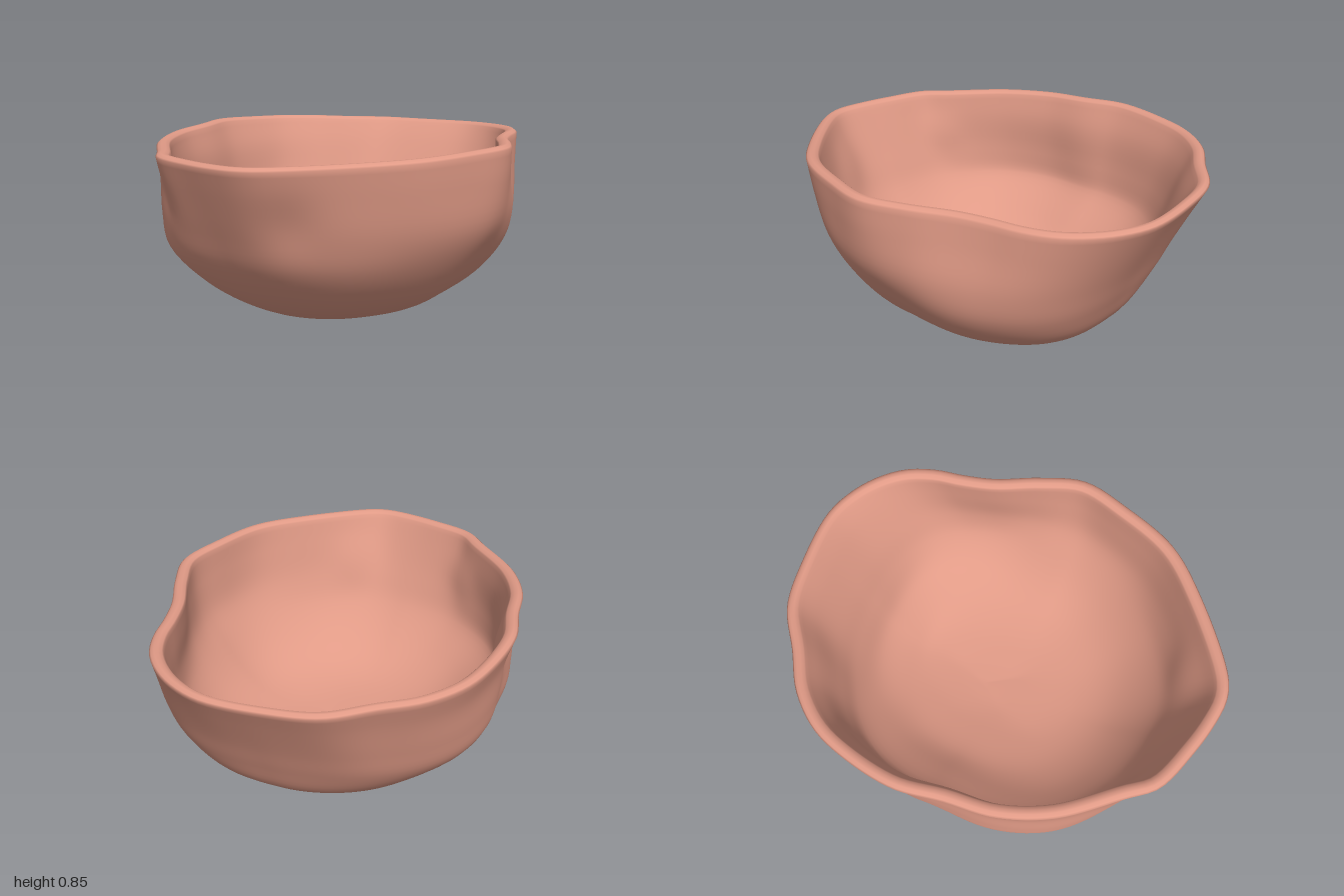
import * as THREE from 'three';

// Rim outline (x, z), from the back round by the +x side
const RIM = [
  [0.15, -1], [0.31, -0.955], [0.43, -0.88], [0.515, -0.79], [0.575, -0.67], [0.61, -0.54],
  [0.66, -0.4], [0.76, -0.22], [0.84, -0.02], [0.81, 0.21], [0.73, 0.48], [0.57, 0.69],
  [0.28, 0.955], [0.18, 0.993], [0.06, 0.992], [-0.1, 0.965], [-0.31, 0.9], [-0.42, 0.79],
  [-0.63, 0.57], [-0.745, 0.35], [-0.79, 0.13], [-0.84, -0.08], [-0.82, -0.34], [-0.77, -0.51],
  [-0.66, -0.665], [-0.51, -0.78], [-0.34, -0.915], [-0.12, -0.975],
];

// Height, reach towards +x, -x, +z, -z as a share of the rim,
// evenness of the outline, bulge towards the (+x, -z) and (-x, +z) corners
const LEVELS = [
  [0.01, 0.13, 0.18, 0.08, 0.3, 1, 0],
  [0.04, 0.38, 0.34, 0.38, 0.46, 1, 0.03],
  [0.1, 0.58, 0.55, 0.55, 0.56, 1, 0.08],
  [0.2, 0.74, 0.71, 0.69, 0.69, 0.95, 0.12],
  [0.35, 0.88, 0.895, 0.82, 0.77, 0.8, 0.12],
  [0.5, 0.97, 0.93, 0.89, 0.84, 0.5, 0.08],
  [0.68, 0.995, 0.95, 0.96, 0.935, 0.15, 0.03],
];

// Soft hand-pressed dents: x, y, z, radius, depth
const DENTS = [
  [0.33, 0.55, 0.86, 0.13, 0.02],
  [-0.35, 0.6, 0.82, 0.1, 0.015],
];

const COLS = 144, ROWS = 40, WALL = 0.06;

function outerWall() {
  const curve = new THREE.CatmullRomCurve3(RIM.map(([x, z]) => new THREE.Vector3(x, 0, z)), true);
  const rim = curve.getSpacedPoints(COLS).slice(0, COLS);
  // Evened outline for the lower body: running average, scaled back to full width
  const SPAN = 11;
  const even = rim.map((_, i) => {
    const sum = new THREE.Vector3();
    for (let k = -SPAN; k <= SPAN; k++) sum.add(rim[(i + k + COLS) % COLS]);
    return sum.divideScalar((2 * SPAN + 1) * 0.963);
  });

  return rim.map((r, i) => {
    const len = Math.hypot(r.x, r.z);
    const wx = (1 + r.x / len) / 2, wz = (1 + r.z / len) / 2;
    const corner = Math.max(0, -2 * r.x * r.z / len ** 2) ** 1.5;
    const pts = [new THREE.Vector3(-0.03, 0, -0.1)];
    for (const [y, px, nx, pz, nz, evenness, bulge] of LEVELS) {
      const p = r.clone().lerp(even[i], evenness).multiplyScalar(1 + bulge * corner);
      pts.push(new THREE.Vector3(
        p.x * THREE.MathUtils.lerp(nx, px, wx), y, p.z * THREE.MathUtils.lerp(nz, pz, wz)));
    }
    // The rim rises a little at the sides
    const side = (r.x / 0.84) ** 2;
    const y = 0.795 + 0.025 * side + (r.x < 0 ? 0.012 * side * Math.exp(-((r.z / 0.3) ** 2)) : 0);
    pts.push(new THREE.Vector3(r.x, y, r.z));

    const column = new THREE.CatmullRomCurve3(pts).getPoints(ROWS);
    for (const p of column) {
      const q = p.clone();
      for (const [dx, dy, dz, radius, depth] of DENTS) {
        const d2 = (q.x - dx) ** 2 + (q.y - dy) ** 2 + (q.z - dz) ** 2;
        const s = 1 - depth * Math.exp(-d2 / radius ** 2) / Math.hypot(dx, dz);
        p.x *= s;
        p.z *= s;
      }
    }
    return column;
  });
}

function bowlGeometry() {
  const cols = outerWall();
  const pos = [], index = [];
  const rows = [];
  for (let j = 0; j <= ROWS; j++) rows.push(cols.map((c) => c[j]));

  // Inner wall: the outer wall moved inwards along its normal
  const inner = rows.map((row, j) => row.map((p, i) => {
    const n = new THREE.Vector3(0, -1, 0);
    if (j > 1) {
      const up = rows[Math.min(j + 1, ROWS)][i].clone().sub(rows[j - 1][i]);
      const along = row[(i + 1) % COLS].clone().sub(row[(i + COLS - 1) % COLS]);
      n.crossVectors(up, along).normalize();
      n.y *= 1 - (j / ROWS) ** 8;
    }
    return p.clone().addScaledVector(n, -WALL);
  }));

  // Rounded lip between the two walls
  const lip = [0.12, 0.35, 0.65, 0.9].map((t) => rows[ROWS].map((p, i) => {
    const q = p.clone().lerp(inner[ROWS][i], t);
    q.y += 0.018 * Math.sin(Math.PI * t);
    return q;
  }));

  const all = [...rows, ...lip, ...inner.reverse()];
  all.forEach((row) => row.forEach((p) => pos.push(p.x, p.y, p.z)));
  const last = all.length - 2;
  for (let j = 0; j <= last; j++) {
    for (let i = 0; i < COLS; i++) {
      const k = (i + 1) % COLS;
      const a = j * COLS + i, b = j * COLS + k, c = a + COLS, d = b + COLS;
      if (j < last) index.push(a, c, d);
      else index.push(a, c, b);
      if (j > 0 && j < last) index.push(a, d, b);
    }
  }
  const geo = new THREE.BufferGeometry();
  geo.setAttribute('position', new THREE.Float32BufferAttribute(pos, 3));
  geo.setIndex(index);
  geo.computeVertexNormals();

  // Even normals where the columns meet at the two poles
  const nor = geo.attributes.normal;
  for (let i = 0; i < COLS; i++) {
    nor.setXYZ(i, 0, -1, 0);
    nor.setXYZ((last + 1) * COLS + i, 0, 1, 0);
  }
  return geo;
}

export function createModel() {
  const group = new THREE.Group();
  group.name = 'clayBowl';
  const bowl = new THREE.Mesh(bowlGeometry(), new THREE.MeshStandardMaterial({ color: 0xe09a86 }));
  bowl.name = 'bowl';
  group.add(bowl);
  return group;
}
